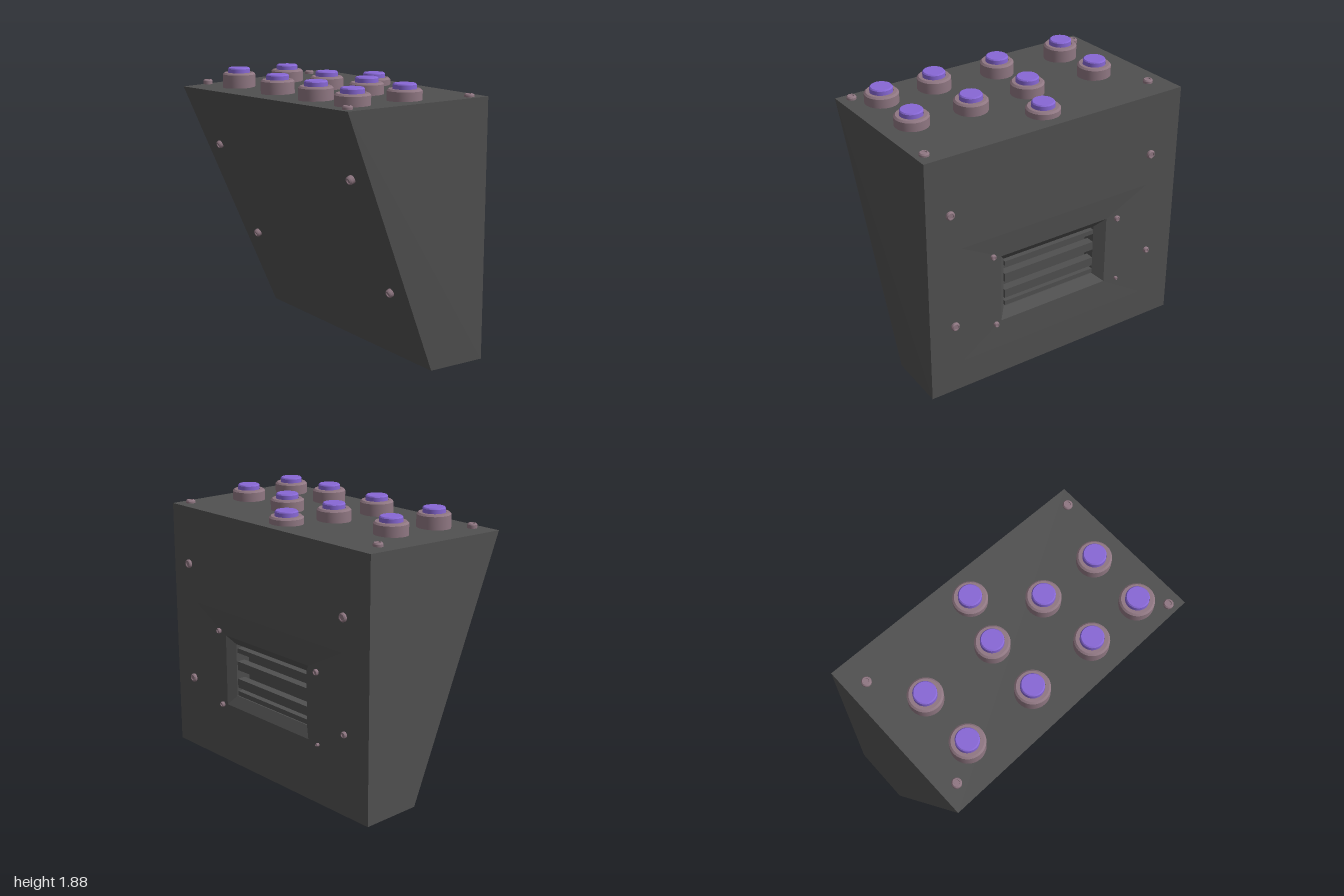
import * as THREE from 'three';
import { toCreasedNormals } from 'three/addons/utils/BufferGeometryUtils.js';

const bodyMat = new THREE.MeshStandardMaterial({ color: 0x505050 });
const metalMat = new THREE.MeshStandardMaterial({ color: 0x8f7782 });
const purpleMat = new THREE.MeshStandardMaterial({ color: 0x8868d6 });

// Rectangle in a plane of constant x, counter-clockwise seen from +x
const rect = (x, y0, y1, zFront, zBack) =>
  [[x, y0, zFront], [x, y0, zBack], [x, y1, zBack], [x, y1, zFront]];

// Flat-faced loft through four-cornered rings, capped at both ends
function loft(rings) {
  const pos = [];
  const quad = (a, b, c, d) => pos.push(...a, ...b, ...c, ...a, ...c, ...d);
  for (let r = 0; r + 1 < rings.length; r++) {
    for (let i = 0; i < 4; i++) {
      const j = (i + 1) % 4;
      quad(rings[r][i], rings[r][j], rings[r + 1][j], rings[r + 1][i]);
    }
  }
  quad(...[...rings[0]].reverse());
  quad(...rings[rings.length - 1]);
  const geo = new THREE.BufferGeometry();
  geo.setAttribute('position', new THREE.Float32BufferAttribute(pos, 3));
  geo.computeVertexNormals();
  return geo;
}

function add(parent, name, geo, mat) {
  const mesh = new THREE.Mesh(geo, mat);
  mesh.name = name;
  parent.add(mesh);
  return mesh;
}

// Round part turned from a profile, with crisp edges
const turned = (points, sides) => toCreasedNormals(
  new THREE.LatheGeometry(points.map(p => new THREE.Vector2(...p)), sides), 0.6);

// Chamfered screw head with a shallow socket, pointing along a normal
function addScrew(parent, name, at, normal, r, h) {
  const geo = turned([[r, -0.01], [r, h * 0.6], [r * 0.8, h], [r * 0.55, h],
    [r * 0.5, h * 0.75], [0, h * 0.75]], 16);
  const screw = add(parent, name, geo, metalMat);
  screw.position.set(...at);
  screw.quaternion.setFromUnitVectors(new THREE.Vector3(0, 1, 0), normal);
}

export function createModel() {
  const model = new THREE.Group();
  model.name = 'ventedControlBox';

  // Wedge-shaped housing, ending in a shallow dish and vent pocket on the +x side
  const sloped = [[0.16, 0, 0.97], [0.16, 0, -1], [-0.61, 1.725, -0.98], [-0.53, 1.765, 1]];
  add(model, 'housing', loft([
    sloped,
    rect(0.585, 0, 1.775, 0.97, -1),
    rect(0.585, 0.22, 1.1, 0.72, -0.75),
    rect(0.575, 0.42, 0.93, 0.42, -0.43),
    rect(0.525, 0.485, 0.867, 0.37, -0.36),
    rect(0.43, 0.485, 0.867, 0.35, -0.36),
  ]), bodyMat);

  // Vent slats
  const vent = new THREE.Group();
  vent.name = 'ventSlats';
  model.add(vent);
  for (const [y0, y1] of [[0.49, 0.524], [0.55, 0.615], [0.68, 0.743], [0.807, 0.84]]) {
    const slat = add(vent, 'slat', new THREE.BoxGeometry(0.06, y1 - y0, 0.72), bodyMat);
    slat.position.set(0.495, (y0 + y1) / 2, 0);
  }

  // Push buttons: collar with chamfered rim and a purple cap
  const collarGeo = turned([[0.115, -0.08], [0.115, 0.055], [0.103, 0.067], [0.08, 0.067],
    [0.08, 0.055], [0, 0.055]], 32);
  const capGeo = turned([[0.077, 0.04], [0.077, 0.094], [0.07, 0.102], [0, 0.102]], 32);
  const spots = [[-0.33, -0.66], [0.07, -0.66], [-0.33, -0.13], [0.06, -0.12], [0.39, -0.02, -0.02],
    [-0.34, 0.36, 0.005], [0.08, 0.33], [-0.33, 0.76], [0.07, 0.76]];
  for (const [x, z, lift = 0] of spots) {
    const button = new THREE.Group();
    button.name = 'button';
    button.position.set(x, 1.772 + lift, z);
    add(button, 'buttonCollar', collarGeo, metalMat);
    add(button, 'buttonCap', capGeo, purpleMat);
    model.add(button);
  }

  // Screws on the top
  const up = new THREE.Vector3(0, 1, 0);
  for (const [x, y, z] of [[-0.47, 1.755, -0.87], [0.395, 1.77, -0.87],
    [-0.47, 1.765, 0.91], [0.48, 1.772, 0.905]]) {
    addScrew(model, 'topScrew', [x, y, z], up, 0.033, 0.022);
  }

  // Screws on the vented side: four large at the corners, four small round the vent
  const side = new THREE.Vector3(1, 0, 0);
  for (const [z, y, r] of [[0.8, 1.37, 0.03], [-0.77, 1.335, 0.03], [0.785, 0.525, 0.03],
    [-0.785, 0.565, 0.022], [0.485, 0.95, 0.019], [-0.515, 0.91, 0.021],
    [0.465, 0.41, 0.019], [-0.53, 0.415, 0.012]]) {
    const x = Math.abs(z) > 0.6 ? 0.585 : 0.577;
    addScrew(model, 'sideScrew', [x, y, z], side, r, 0.02);
  }

  // Screws on the sloped side
  const slope = new THREE.Vector3(-0.923, -0.386, 0).normalize();
  for (const [x, y, z] of [[-0.415, 1.315, -0.79], [-0.365, 1.305, 0.8],
    [-0.11, 0.615, -0.79], [-0.05, 0.525, 0.8]]) {
    addScrew(model, 'slopeScrew', [x, y, z], slope, 0.029, 0.027);
  }

  return model;
}
